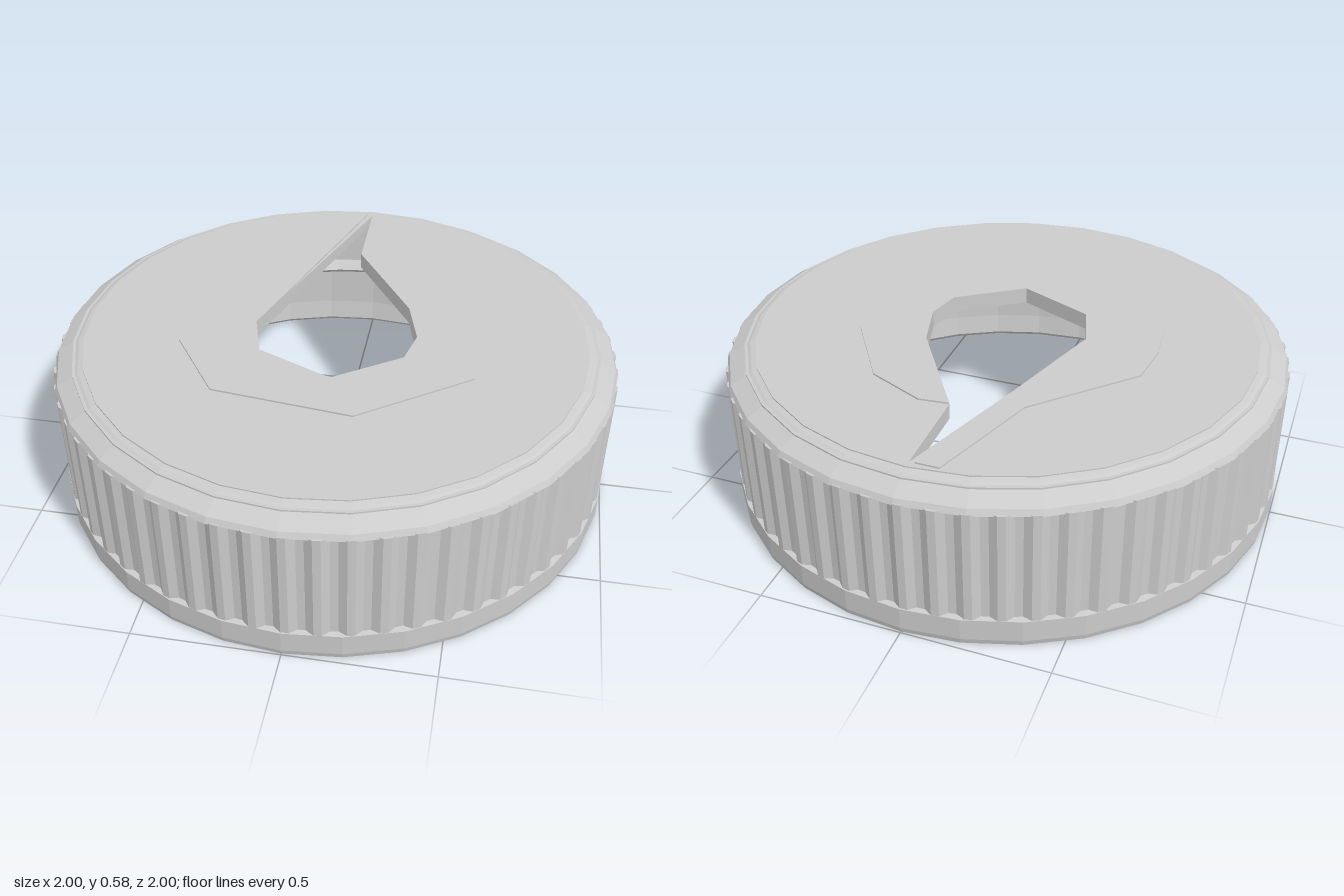
import * as THREE from 'three';

const material = new THREE.MeshStandardMaterial({
  color: 0xcccccc, flatShading: true, side: THREE.DoubleSide,
});
const v2 = (x, y) => new THREE.Vector2(x, y);

// Closed outline from a radius rule around the axis
function ring(count, radiusAt) {
  return Array.from({ length: count }, (_, i) => {
    const a = (i / count) * Math.PI * 2, r = radiusAt(i);
    return v2(Math.cos(a) * r, Math.sin(a) * r);
  });
}

// Horizontal slab from plan outlines, standing between two heights
function slab(outline, hole, y0, y1) {
  const shape = new THREE.Shape(outline);
  if (hole) shape.holes.push(new THREE.Path(hole));
  const g = new THREE.ExtrudeGeometry(shape, { depth: y1 - y0, bevelEnabled: false });
  return g.rotateX(-Math.PI / 2).translate(0, y0, 0);
}

export function createModel() {
  const cap = new THREE.Group();
  cap.name = 'bottleCap';
  const add = (name, geometry) => {
    const mesh = new THREE.Mesh(geometry, material);
    mesh.name = name;
    cap.add(mesh);
  };
  const plan = (points) => points.map(([x, z]) => v2(x, -z));

  // Smooth band around the open bottom
  add('bottomBand', new THREE.LatheGeometry([
    v2(0.95, 0.1), v2(0.94, 0.02), v2(0.96, 0), v2(0.995, 0), v2(1, 0.02),
    v2(1, 0.1), v2(0.97, 0.105), v2(0.95, 0.1),
  ], 32));

  // Gripping wall with shallow vertical ribs
  const ribs = ring(240, (i) => (i % 4 < 2 ? 0.995 : 0.978));
  add('ribbedWall', slab(ribs, ring(32, () => 0.95), 0.1, 0.51));

  // Sloped shoulder joining the wall to the top
  add('shoulder', new THREE.LatheGeometry([
    v2(0.95, 0.5), v2(0.995, 0.505), v2(0.985, 0.525), v2(0.91, 0.565), v2(0.88, 0.572),
  ], 28));

  // Top plate with a teardrop opening reaching the back edge
  const opening = [
    [0, -0.92], [0.005, -0.54], [0.24, -0.18], [0.29, 0], [0.26, 0.13],
    [0.03, 0.29], [-0.24, 0.17], [-0.29, 0], [-0.23, -0.19],
  ];
  add('topPlate', slab(ring(28, () => 0.93), plan(opening), 0.52, 0.56));
  add('topFace', slab(ring(28, () => 0.9).map((p) => p.multiplyScalar(0.99)),
    plan(opening.map(([x, z]) => [x, Math.max(z, -0.87)])), 0.56, 0.574));

  // Slightly raised collar following the opening
  const collarEdge = [
    [-0.1, -0.87], [-0.23, -0.48], [-0.53, -0.17], [-0.55, 0], [-0.53, 0.16],
    [-0.35, 0.42], [0.14, 0.48], [0.51, 0.21], [0.49, -0.19], [0.31, -0.46], [0.11, -0.55],
  ];
  const inner = [...opening.slice(1), [-0.02, -0.87]];
  add('openingCollar', slab(plan([...collarEdge, ...inner]), null, 0.574, 0.58));

  // Screw thread inside the wall
  const turns = 1.5;
  const helix = Array.from({ length: 49 }, (_, i) => {
    const t = i / 48, a = t * turns * Math.PI * 2;
    return new THREE.Vector3(Math.cos(a) * 0.94, 0.2 + t * 0.18, Math.sin(a) * 0.94);
  });
  add('screwThread', new THREE.TubeGeometry(new THREE.CatmullRomCurve3(helix), 60, 0.032, 4));

  return cap;
}
